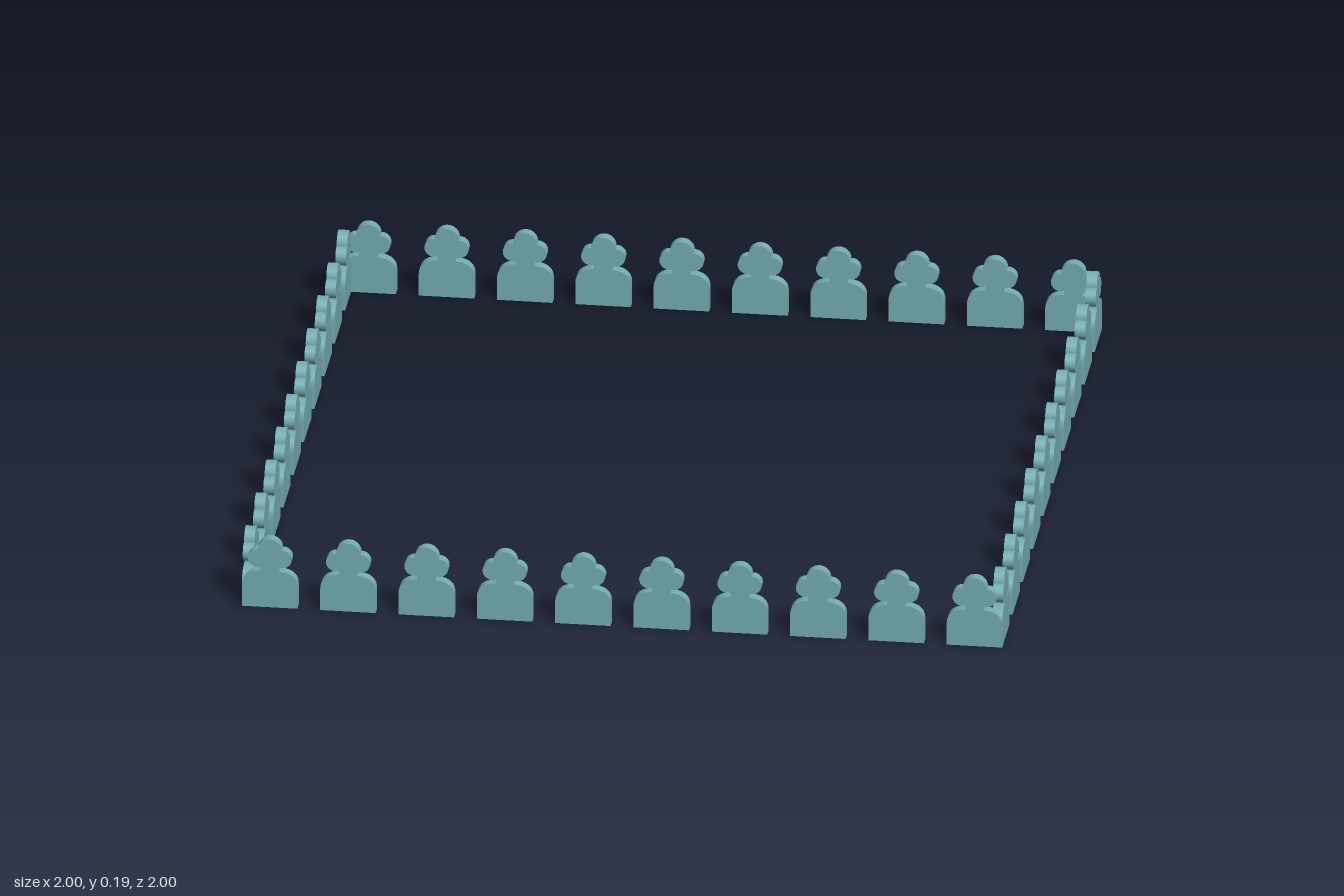
import * as THREE from 'three';

const WIDTH = 0.146, DEPTH = 0.028, COUNT = 10;

// Merlon outline: round-shouldered body, narrow neck, three-lobed head
function merlonShape() {
  const h = WIDTH / 2;
  const s = new THREE.Shape();
  s.moveTo(-h, 0);
  s.lineTo(h, 0);
  s.lineTo(h, 0.062);
  s.bezierCurveTo(h, 0.088, 0.055, 0.102, 0.024, 0.104);
  s.lineTo(0.024, 0.116);
  s.absarc(0.033, 0.139, 0.025, -1.93, 1.75, false);
  s.absarc(0, 0.163, 0.032, 0.05, Math.PI - 0.05, false);
  s.absarc(-0.033, 0.139, 0.025, Math.PI - 1.75, Math.PI + 1.93, false);
  s.lineTo(-0.024, 0.104);
  s.bezierCurveTo(-0.055, 0.102, -h, 0.088, -h, 0.062);
  s.closePath();
  return s;
}

export function createModel() {
  const teal = new THREE.MeshStandardMaterial({ color: 0x74adb2 });
  teal.name = 'dusty teal';
  const geometry = new THREE.ExtrudeGeometry(merlonShape(), {
    depth: DEPTH, bevelEnabled: false, curveSegments: 10,
  });
  geometry.translate(0, 0, 1 - DEPTH);

  const model = new THREE.Group();
  model.name = 'battlement';
  const step = (2 - WIDTH) / (COUNT - 1);

  // Four equal rows around the square, meeting at the corners
  ['frontRow', 'leftRow', 'backRow', 'rightRow'].forEach((name, side) => {
    const row = new THREE.Group();
    row.name = name;
    for (let i = 0; i < COUNT; i++) {
      const merlon = new THREE.Mesh(geometry, teal);
      merlon.name = 'merlon';
      merlon.position.x = -1 + WIDTH / 2 + i * step;
      row.add(merlon);
    }
    row.rotation.y = side * Math.PI / 2;
    model.add(row);
  });
  return model;
}
